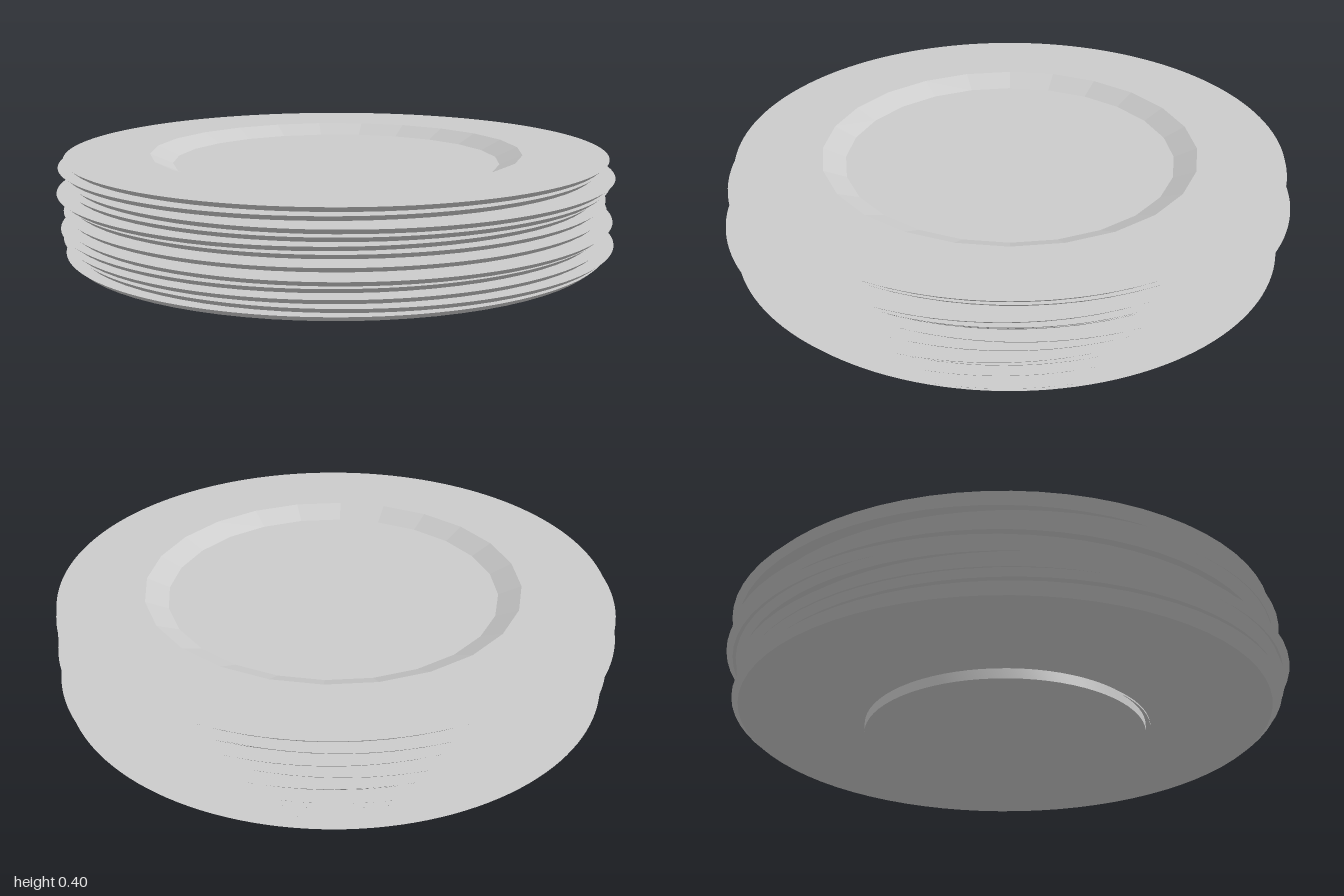
import * as THREE from 'three';
import { toCreasedNormals } from 'three/addons/utils/BufferGeometryUtils.js';

const RIM = 0.965, WELL = 0.665, FLOOR = 0.585;
const RIM_Y = 0.077, FLOOR_Y = 0.042;
const SPACING = 0.0298, WELL_SIDES = 24;

const profile = (pairs) => pairs.map(([r, y]) => new THREE.Vector2(r, y));

// Foot, sloping underside and bevelled edge
function undersideGeometry() {
  const points = profile([[0, 0], [0.5, 0], [0.5, 0.036], [0.942, 0.058], [RIM, RIM_Y]]);
  return toCreasedNormals(new THREE.LatheGeometry(points, 72), 0.4);
}

// Flat rim with a faceted opening for the well
function rimGeometry() {
  const shape = new THREE.Shape();
  shape.absarc(0, 0, RIM, 0, Math.PI * 2, false);
  const corners = [];
  for (let i = 0; i < WELL_SIDES; i++) {
    const a = ((i + 0.5) / WELL_SIDES) * Math.PI * 2;
    corners.push(new THREE.Vector2(Math.cos(a) * WELL, Math.sin(a) * WELL));
  }
  shape.holes.push(new THREE.Path(corners));
  return new THREE.ShapeGeometry(shape, 72).rotateX(-Math.PI / 2).translate(0, RIM_Y, 0);
}

// Sunken centre with a sloped, faceted wall
function wellGeometry() {
  const points = profile([[WELL, RIM_Y], [FLOOR, FLOOR_Y], [0, FLOOR_Y]]);
  return new THREE.LatheGeometry(points, WELL_SIDES, Math.PI / WELL_SIDES);
}

export function createModel() {
  const smooth = new THREE.MeshStandardMaterial({ color: 0xcccccc });
  const faceted = new THREE.MeshStandardMaterial({ color: 0xcccccc, flatShading: true });
  const parts = [
    ['underside', undersideGeometry(), smooth],
    ['rim', rimGeometry(), smooth],
    ['well', wellGeometry(), faceted],
  ];

  // Sideways shift of each plate (x, z), bottom to top
  const shifts = [
    [-0.008, -0.004], [0.02, -0.01], [0.01, 0.015], [-0.006, 0.015],
    [0.033, 0.022], [-0.008, 0], [-0.033, -0.028], [-0.037, 0.008],
    [-0.005, -0.01], [0.022, 0], [-0.035, 0], [-0.009, -0.006],
  ];

  const model = new THREE.Group();
  model.name = 'plateStack';
  shifts.forEach(([x, z], i) => {
    const plate = new THREE.Group();
    plate.name = `plate${i + 1}`;
    for (const [name, geometry, material] of parts) {
      const mesh = new THREE.Mesh(geometry, material);
      mesh.name = name;
      plate.add(mesh);
    }
    plate.position.set(x, i * SPACING, z);
    model.add(plate);
  });
  return model;
}
